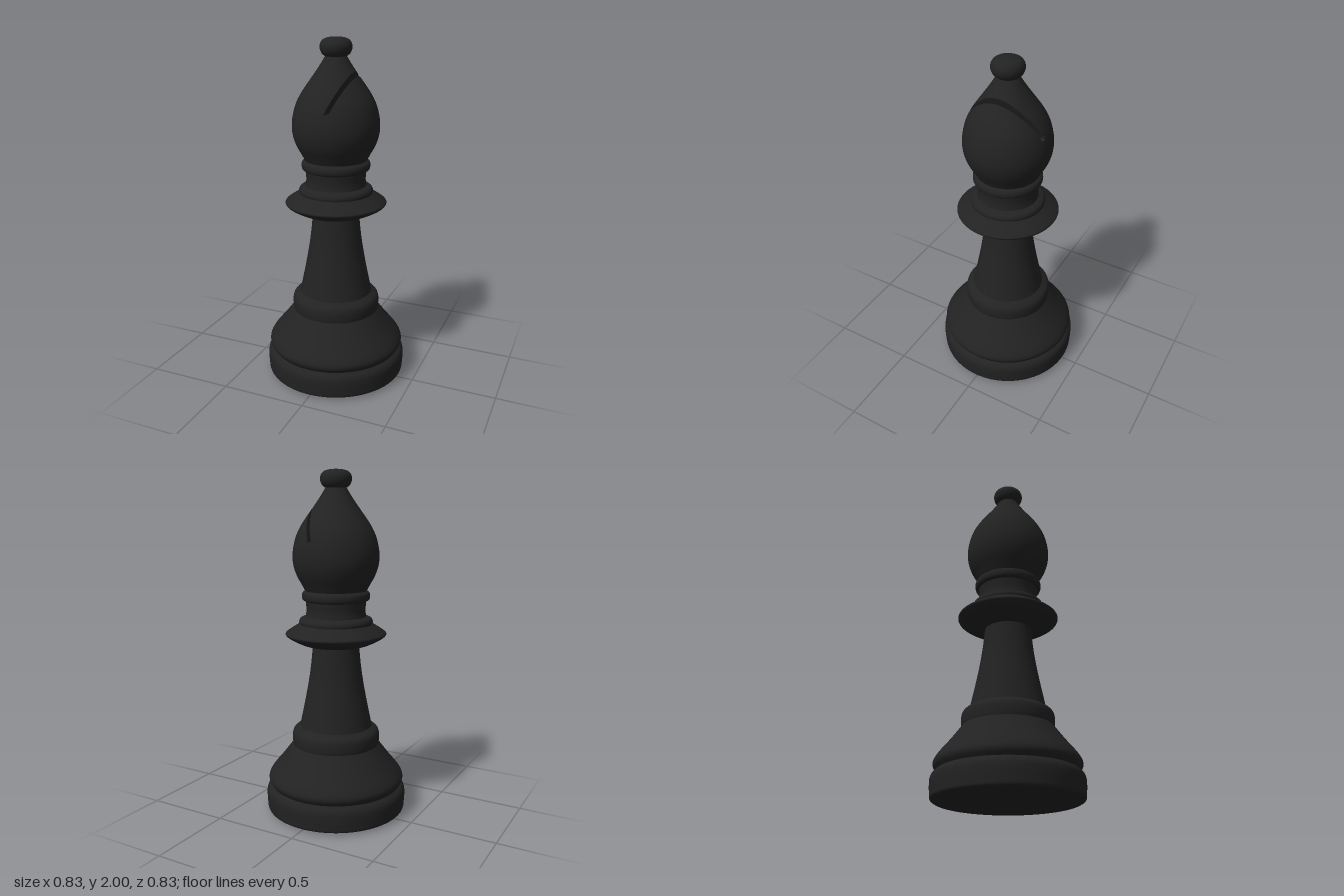
import * as THREE from 'three';
import { ParametricGeometry } from 'three/addons/geometries/ParametricGeometry.js';

const SIDES = 96;
const material = new THREE.MeshStandardMaterial({ color: 0x222222 });
const cutMaterial = new THREE.MeshStandardMaterial({ color: 0x222222, side: THREE.DoubleSide, flatShading: true });

// Smooth curve through [radius, height] points
function smooth(points, samples) {
  const curve = new THREE.CatmullRomCurve3(points.map(([r, y]) => new THREE.Vector3(r, y, 0)), false, 'centripetal');
  return curve.getPoints(samples).map(p => new THREE.Vector2(Math.max(p.x, 0), p.y));
}

// Turned parts, bottom to top; each ends where the next begins, leaving a crisp edge
const turned = {
  baseUnderside: [[0, 0], [0.2, 0.002], [0.395, 0.01]],
  baseDisc: [[0.395, 0.01], [0.41, 0.02], [0.414, 0.05], [0.415, 0.125], [0.405, 0.148], [0.385, 0.165]],
  baseCone: [[0.385, 0.165], [0.4, 0.19], [0.402, 0.21], [0.388, 0.24], [0.322, 0.322], [0.255, 0.41]],
  baseRing: [[0.255, 0.41], [0.258, 0.43], [0.257, 0.475], [0.247, 0.497], [0.213, 0.52]],
  shaft: [[0.213, 0.52], [0.19, 0.63], [0.165, 0.76], [0.147, 0.88], [0.135, 1.0]],
  collar: [[0.135, 1.0], [0.19, 1.01], [0.25, 1.037], [0.288, 1.062], [0.293, 1.074], [0.275, 1.09], [0.212, 1.13]],
  collarStep: [[0.212, 1.13], [0.214, 1.145], [0.205, 1.162], [0.175, 1.175]],
  neck: [[0.175, 1.175], [0.171, 1.21], [0.175, 1.262]],
  neckRing: [[0.175, 1.262], [0.191, 1.27], [0.197, 1.29], [0.193, 1.31], [0.178, 1.323]],
  finial: [[0.06, 1.898], [0.078, 1.913], [0.089, 1.94], [0.087, 1.965], [0.072, 1.986], [0.04, 1.998], [0, 2]],
};
const headProfile = smooth([[0.178, 1.323], [0.198, 1.36], [0.225, 1.41], [0.243, 1.465], [0.248, 1.52],
  [0.241, 1.58], [0.222, 1.645], [0.19, 1.705], [0.152, 1.76], [0.115, 1.812], [0.083, 1.86], [0.06, 1.898]], 60);

// Slanted slot: u runs across its width, t along its depth from the floor
const slot = { x: 0.024, y: 1.61, width: 0.024, cos: 0.922, sin: 0.387 };
const across = p => slot.cos * (p[0] - slot.x) - slot.sin * (p[1] - slot.y);
const along = p => slot.sin * (p[0] - slot.x) + slot.cos * (p[1] - slot.y);

// Splits a convex polygon into the parts where f < 0 and f >= 0
function split(poly, f) {
  const below = [], above = [];
  poly.forEach((a, i) => {
    const b = poly[(i + 1) % poly.length], fa = f(a), fb = f(b);
    (fa < 0 ? below : above).push(a);
    if ((fa < 0) !== (fb < 0)) {
      const m = a.map((v, k) => v + (b[k] - v) * fa / (fa - fb));
      below.push(m);
      above.push(m);
    }
  });
  return [below, above];
}

// Head skin with the slot removed
function slottedHead() {
  const lathe = new THREE.LatheGeometry(headProfile, SIDES).toNonIndexed();
  const pos = lathe.attributes.position, nor = lathe.attributes.normal;
  const positions = [], normals = [];
  const keep = poly => {
    for (let i = 1; i + 1 < poly.length; i++) {
      for (const v of [poly[0], poly[i], poly[i + 1]]) {
        positions.push(v[0], v[1], v[2]);
        normals.push(v[3], v[4], v[5]);
      }
    }
  };
  for (let i = 0; i < pos.count; i += 3) {
    const tri = [i, i + 1, i + 2].map(k =>
      [pos.getX(k), pos.getY(k), pos.getZ(k), nor.getX(k), nor.getY(k), nor.getZ(k)]);
    const [left, rest] = split(tri, across);
    const [middle, right] = split(rest, p => across(p) - slot.width);
    const [under] = split(middle, along);
    [left, right, under].forEach(keep);
  }
  const geometry = new THREE.BufferGeometry();
  geometry.setAttribute('position', new THREE.Float32BufferAttribute(positions, 3));
  geometry.setAttribute('normal', new THREE.Float32BufferAttribute(normals, 3));
  return geometry;
}

// Head radius at a height
function headRadius(y) {
  const i = Math.max(1, headProfile.findIndex(p => p.y >= y));
  const a = headProfile[i - 1], b = headProfile[i];
  return a.x + (b.x - a.x) * (y - a.y) / (b.y - a.y);
}

// Point inside the slot; side runs from -1 to 1 across the head in z
function slotPoint(u, t, side, target) {
  const x = slot.x + slot.cos * u + slot.sin * t;
  const y = slot.y - slot.sin * u + slot.cos * t;
  target.set(x, y, side * Math.sqrt(Math.max(0, headRadius(y) ** 2 - x * x)));
}

// Distance along the slot at which it leaves the head
function slotExit(u) {
  let low = 0, high = 0.28;
  for (let i = 0; i < 30; i++) {
    const t = (low + high) / 2;
    const x = slot.x + slot.cos * u + slot.sin * t;
    if (x < headRadius(slot.y - slot.sin * u + slot.cos * t)) low = t;
    else high = t;
  }
  return low;
}

function slotWall(u) {
  const end = slotExit(u);
  return new ParametricGeometry((a, b, target) =>
    slotPoint(u, end * (1 - (1 - b) ** 2), a * 2 - 1, target), 12, 32);
}

export function createModel() {
  const model = new THREE.Group();
  model.name = 'chessBishop';
  const add = (name, geometry, mat, parent = model) => {
    const mesh = new THREE.Mesh(geometry, mat);
    mesh.name = name;
    parent.add(mesh);
  };

  for (const [name, points] of Object.entries(turned)) {
    add(name, new THREE.LatheGeometry(smooth(points, 24), SIDES), material);
  }

  // Head with its slot
  const head = new THREE.Group();
  head.name = 'head';
  model.add(head);
  add('headSkin', slottedHead(), material, head);
  add('slotInnerWall', slotWall(0), cutMaterial, head);
  add('slotOuterWall', slotWall(slot.width), cutMaterial, head);
  add('slotFloor', new ParametricGeometry((a, b, target) =>
    slotPoint(b * slot.width, 0, a * 2 - 1, target), 12, 4), cutMaterial, head);

  return model;
}
